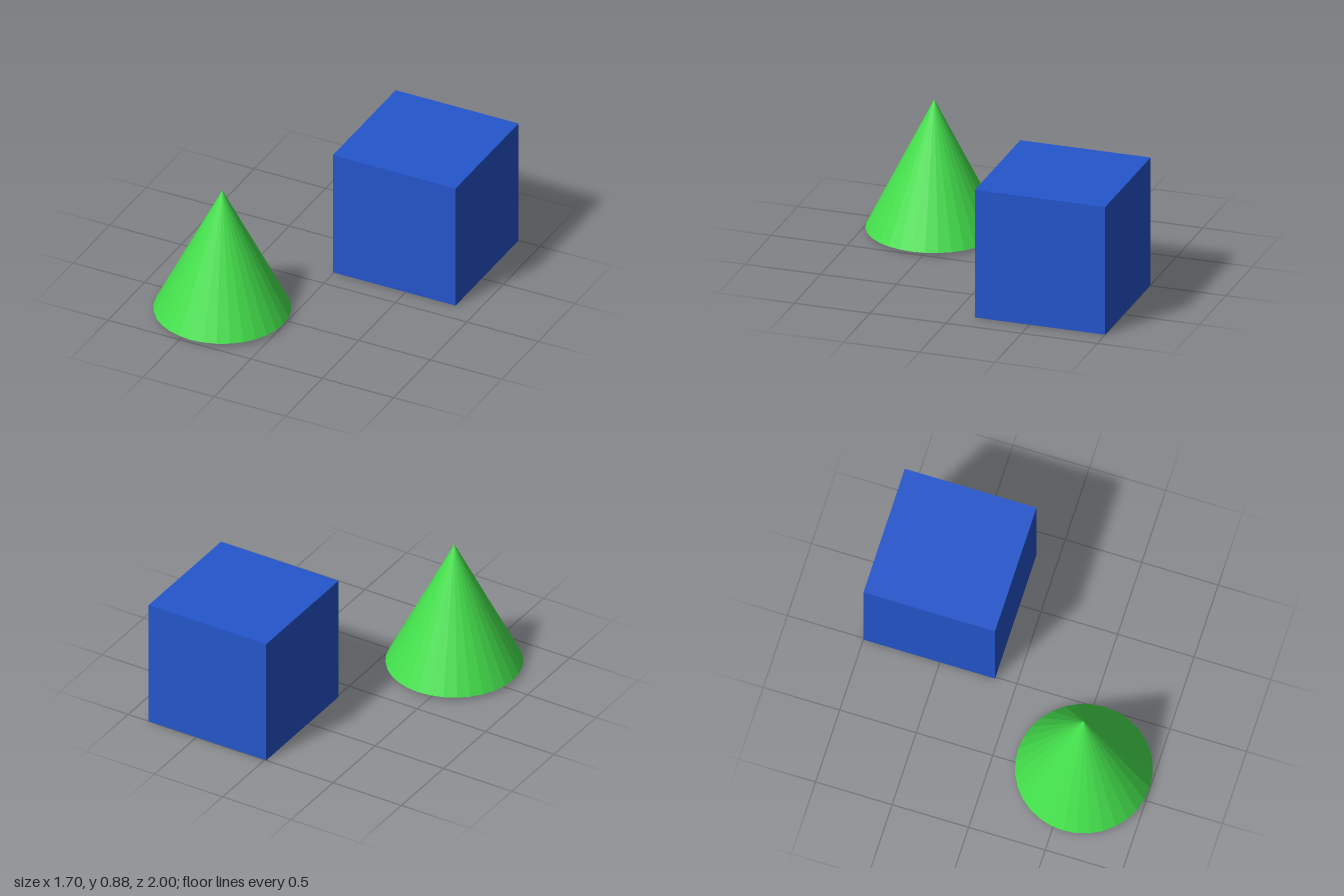
import * as THREE from 'three';

const SIZE = 0.86; // shared by the cube edges, cone height and cone diameter

function addPart(group, name, geometry, color, position) {
  const material = new THREE.MeshStandardMaterial({ color, flatShading: true });
  const mesh = new THREE.Mesh(geometry, material);
  mesh.name = name;
  mesh.position.set(...position);
  group.add(mesh);
}

export function createModel() {
  const group = new THREE.Group();
  group.name = 'coneAndCube';

  // Blue cube at the back left, standing on the ground
  addPart(group, 'cube', new THREE.BoxGeometry(SIZE, SIZE, SIZE), 0x2456cc, [0.42, SIZE / 2, -0.57]);

  // Green faceted cone at the front right, floating slightly above the ground
  addPart(group, 'cone', new THREE.ConeGeometry(SIZE / 2, SIZE, 32), 0x44e04c, [-0.42, 0.02 + SIZE / 2, 0.57]);

  return group;
}
